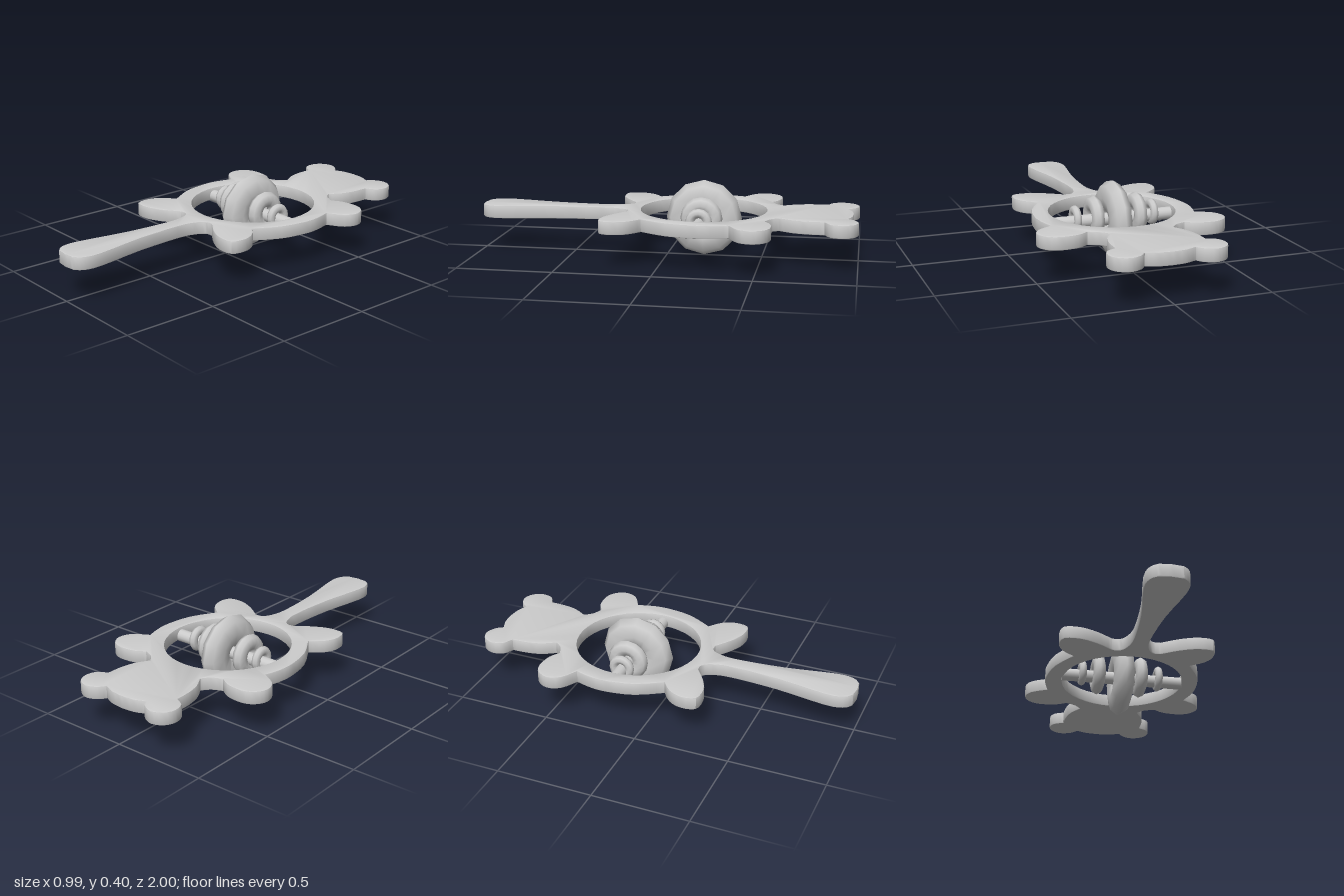
import * as THREE from 'three';
import { toCreasedNormals } from 'three/addons/utils/BufferGeometryUtils.js';

const material = new THREE.MeshStandardMaterial({ color: 0xcccccc });
const CENTER_Z = -0.193;

function addMesh(group, name, geometry) {
  const mesh = new THREE.Mesh(geometry, material);
  mesh.name = name;
  group.add(mesh);
  return mesh;
}

// One half of the bear outline as [x, z] runs; each run is a smooth curve and runs meet at corners
const runs = [
  [[0, -0.972], [0.07, -0.965], [0.127, -0.942]], // crown
  [[0.127, -0.942], [0.155, -0.978], [0.212, -1], [0.27, -0.975], [0.296, -0.92], [0.28, -0.86], [0.228, -0.83]], // ear
  [[0.228, -0.83], [0.225, -0.75], [0.207, -0.67], [0.167, -0.6]], // cheek
  [[0.167, -0.6], [0.2, -0.56], [0.255, -0.535]], // neck and shoulder
  [[0.255, -0.535], [0.31, -0.568], [0.4, -0.577], [0.462, -0.55], [0.493, -0.49], [0.468, -0.42], [0.385, -0.368]], // arm
  [[0.385, -0.368], [0.408, -0.28], [0.412, -0.19], [0.385, -0.05], [0.31, 0.085]], // side of the body
  [[0.31, 0.085], [0.375, 0.14], [0.403, 0.21], [0.386, 0.285], [0.3, 0.293], [0.21, 0.255], [0.127, 0.197]], // leg
  [[0.127, 0.197], [0.085, 0.2], [0.055, 0.25], [0.042, 0.35], [0.06, 0.6], [0.104, 0.86], [0.095, 0.955], [0.058, 0.993]], // handle
  [[0.058, 0.993], [0, 1]], // handle end
];

function plateGeometry() {
  const half = [];
  for (const run of runs) {
    const curve = new THREE.SplineCurve(run.map(([x, z]) => new THREE.Vector2(x, -z)));
    half.push(...curve.getPoints((run.length - 1) * 3).slice(0, -1));
  }
  half.push(new THREE.Vector2(0, -1));
  const mirrored = half.slice(1, -1).reverse().map((p) => new THREE.Vector2(-p.x, p.y));
  const shape = new THREE.Shape([...half, ...mirrored]);
  const hole = new THREE.Path();
  hole.absellipse(0, -CENTER_Z, 0.325, 0.331, 0, Math.PI * 2, false, 0);
  shape.holes.push(hole);

  const bevel = 0.006;
  const geometry = new THREE.ExtrudeGeometry(shape, {
    depth: 0.069 - 2 * bevel,
    bevelThickness: bevel,
    bevelSize: bevel,
    bevelOffset: -bevel,
    bevelSegments: 2,
    curveSegments: 20,
  });
  geometry.rotateX(-Math.PI / 2);
  geometry.translate(0, 0.178 + bevel, 0);
  return toCreasedNormals(geometry, 0.6);
}

// Ring bead with an elliptical section, turned around the x axis
function beadGeometry(outer, thick, halfWidth, segments) {
  const profile = [];
  for (let i = 0; i <= 8; i++) {
    const t = Math.PI + (i / 8) * Math.PI * 2;
    profile.push(new THREE.Vector2(outer - thick + thick * Math.cos(t), halfWidth * Math.sin(t)));
  }
  return new THREE.LatheGeometry(profile, segments).rotateZ(Math.PI / 2);
}

export function createModel() {
  const group = new THREE.Group();
  group.name = 'rattle';

  addMesh(group, 'bearPlate', plateGeometry());

  // Rod across the opening
  const rod = new THREE.CylinderGeometry(0.033, 0.033, 0.66, 16);
  rod.rotateZ(Math.PI / 2);
  addMesh(group, 'rod', rod).position.set(0, 0.2, CENTER_Z);

  // Beads: name, x, y, outer radius, section half height, half width, sides
  const beads = [
    ['largeBead', -0.007, 0.2, 0.2, 0.09, 0.057, 12],
    ['mediumBeadRight', -0.134, 0.217, 0.11, 0.042, 0.034, 16],
    ['mediumBeadLeft', 0.097, 0.217, 0.11, 0.042, 0.034, 16],
    ['smallBeadRight', -0.22, 0.217, 0.069, 0.024, 0.021, 16],
    ['smallBeadLeft', 0.197, 0.217, 0.069, 0.024, 0.021, 16],
  ];
  for (const [name, x, y, outer, thick, halfWidth, sides] of beads) {
    addMesh(group, name, beadGeometry(outer, thick, halfWidth, sides)).position.set(x, y, CENTER_Z);
  }
  return group;
}
